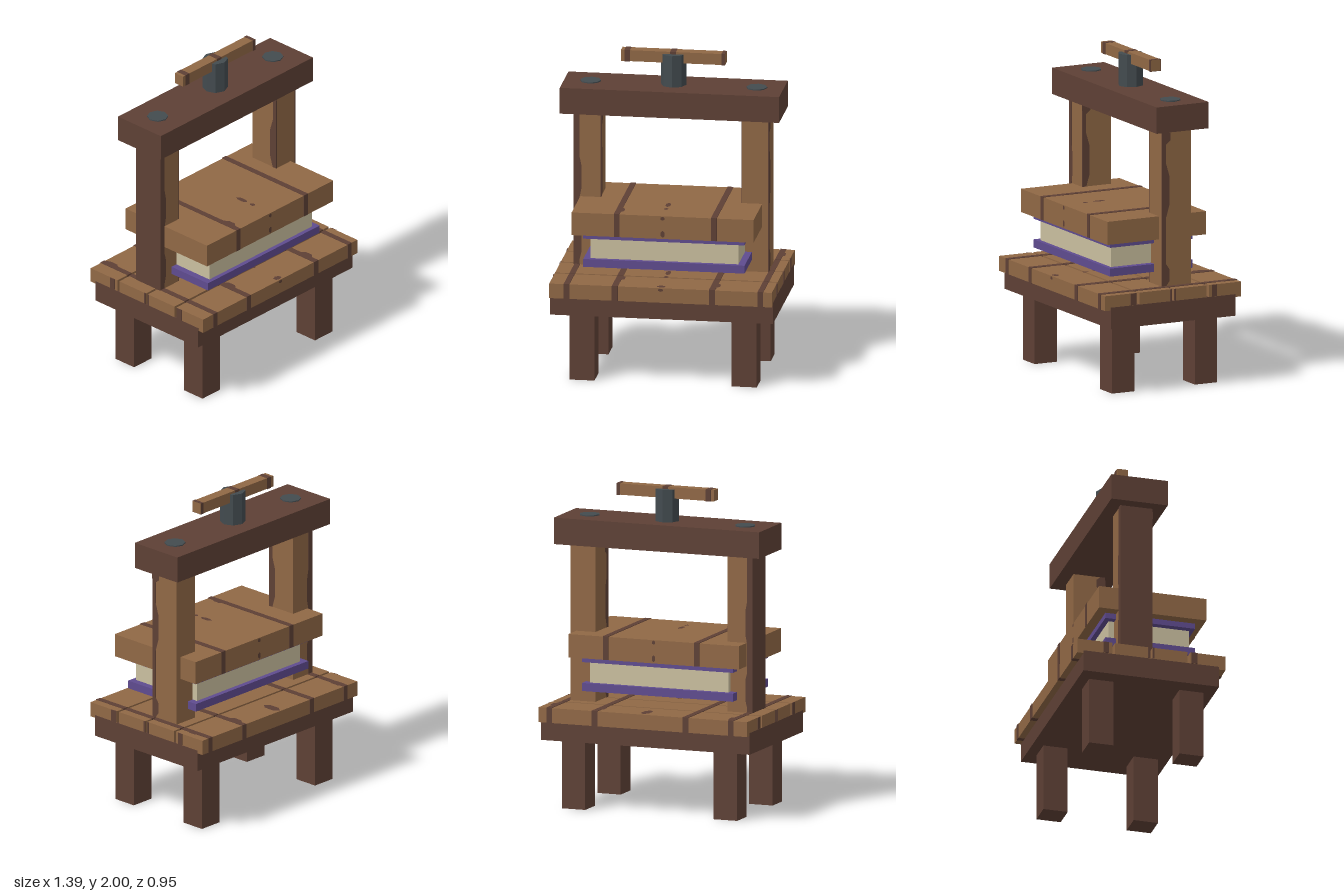
import * as THREE from 'three';

export function createModel() {
  const model = new THREE.Group();
  model.name = 'bookPress';

  const material = (name, color) => {
    const m = new THREE.MeshStandardMaterial({ color });
    m.name = name;
    return m;
  };
  const wood = material('oak wood', 0x906845);
  const dark = material('dark wood', 0x5e4035);
  const metal = material('iron', 0x434b4f);
  const purple = material('purple cover', 0x5f4b8f);
  const paper = material('paper', 0xcabf9f);

  const add = (name, geometry, mat, x, y, z) => {
    const mesh = new THREE.Mesh(geometry, mat);
    mesh.name = name;
    mesh.position.set(x, y, z);
    model.add(mesh);
    return mesh;
  };
  // Box given by its lower and upper limits on each axis
  const box = (name, mat, x0, x1, y0, y1, z0, z1) =>
    add(name, new THREE.BoxGeometry(x1 - x0, y1 - y0, z1 - z0), mat,
      (x0 + x1) / 2, (y0 + y1) / 2, (z0 + z1) / 2);

  // Grain band wrapped around a board that runs along x
  const E = 0.003;
  const band = (x0, x1, y0, y1, z0, z1) =>
    box('grainBand', dark, x0, x1, y0 - E, y1 + E, z0 - E, z1 + E);

  // Elongated grain knot, lying in a plane turned by rx and ry
  const knot = (w, l, x, y, z, rx = 0, ry = 0) => {
    const shape = new THREE.Shape([
      [0, -l / 2], [w / 2, -l / 4], [w / 2, l / 4],
      [0, l / 2], [-w / 2, l / 4], [-w / 2, -l / 4],
    ].map(([a, b]) => new THREE.Vector2(a, b)));
    add('grainKnot', new THREE.ShapeGeometry(shape), dark, x, y, z).rotation.set(rx, ry, 0);
  };
  const topKnot = (w, l, x, y, z) => knot(w, l, x, y + E + 0.001, z, -Math.PI / 2);

  // Stand: four legs and a thick slab
  for (const sx of [-1, 1]) {
    for (const sz of [-1, 1]) {
      const leg = add('leg', new THREE.BoxGeometry(0.155, 0.44, 0.155), dark, sx * 0.503, 0.22, sz * 0.288);
      leg.name = sz > 0 ? 'frontLeg' : 'backLeg';
    }
  }
  box('baseSlab', dark, -0.691, 0.691, 0.43, 0.565, -0.433, 0.433);

  // Table top of four planks with grain across them
  const bands = [[-0.6, -0.565], [-0.302, -0.265], [0.3, 0.338], [0.602, 0.637]];
  for (const cz of [-0.361, -0.12, 0.12, 0.361]) {
    const z0 = cz - 0.112, z1 = cz + 0.112;
    box('tablePlank', wood, -0.69, 0.69, 0.547, 0.64, z0, z1);
    bands.forEach(([a, b]) => band(a, b, 0.549, 0.64, z0, z1));
  }
  for (const [w, l, x, z] of [
    [0.055, 0.135, 0, -0.405], [0.03, 0.1, 0, 0.15], [0.028, 0.045, 0, 0.24],
    [0.05, 0.044, 0, 0.449], [0.05, 0.12, -0.575, -0.41], [0.05, 0.12, 0.307, -0.385],
    [0.05, 0.1, -0.27, 0.3], [0.05, 0.1, 0.333, 0.38], [0.04, 0.1, 0.632, -0.35],
  ]) topKnot(w, l, x, 0.64, z);
  knot(0.03, 0.02, 0, 0.628, 0.473 + E);

  // Grain on the plank ends
  for (const s of [-1, 1]) {
    for (const [z0, z1] of [[0.255, 0.295], [-0.305, -0.27], [-0.02, -0.008], [0.008, 0.02]]) {
      const end = s * 0.691;
      box('plankEndGrain', dark, end - E, end + E, 0.567, 0.64, z0, z1);
    }
  }

  // Upright posts
  for (const s of [-1, 1]) {
    box('post', wood, s * 0.52 - 0.083, s * 0.52 + 0.083, 0.6, 1.63, -0.17, 0.03);
    // Grain along the outer and inner faces
    for (const side of [-1, 1]) {
      const x = s * 0.52 + side * 0.083;
      box('postGrain', dark, x - E, x + E, 0.64, 1.62, 0.004, 0.0305);
      for (const [y, l, w] of [[0.71, 0.14, 0.05], [1.24, 0.34, 0.05], [1.575, 0.09, 0.06]]) {
        knot(w, l, x + side * (E + 0.001), y, 0.004, 0, side * Math.PI / 2);
      }
    }
  }
  // Grain on the edge of the right-hand post
  band(-0.6045, -0.568, 0.64, 1.62, -0.17, 0.03);
  for (const [y, l] of [[0.78, 0.25], [1.2, 0.3]]) {
    knot(0.03, l, -0.572, y, 0.03 + E + 0.001);
    knot(0.03, l, -0.572, y, -0.17 - E - 0.001, 0, Math.PI);
  }

  // Top beam with iron bolt heads
  box('topBeam', dark, -0.68, 0.68, 1.62, 1.785, -0.252, 0.108);
  for (const s of [-1, 1]) {
    add('boltHead', new THREE.CylinderGeometry(0.065, 0.065, 0.02, 8), metal, s * 0.515, 1.782, -0.074);
  }

  // Screw and its handle
  const screwGeometry = new THREE.CylinderGeometry(0.078, 0.078, 0.215, 8).toNonIndexed();
  screwGeometry.computeVertexNormals();
  add('screw', screwGeometry, metal, 0, 1.8785, -0.074);
  box('handle', wood, -0.323, 0.323, 1.93, 2, -0.11, -0.042);
  for (const [a, b] of [[-0.302, -0.267], [-0.018, 0.018], [0.3, 0.3225]]) {
    box('handleGrain', dark, a, b, 1.928, 2.0015, -0.112, -0.04);
  }

  // Pressing board
  box('pressingBoard', wood, -0.564, 0.564, 0.93, 1.075, -0.297, 0.388);
  band(-0.302, -0.267, 0.934, 1.075, -0.297, 0.388);
  band(0.3, 0.336, 0.934, 1.075, -0.297, 0.388);
  topKnot(0.03, 0.09, 0, 1.075, 0.15);
  topKnot(0.026, 0.04, 0, 1.075, 0.24);
  topKnot(0.045, 0.1, -0.27, 1.075, 0.3);
  for (const [y, l] of [[0.96, 0.045], [1.06, 0.026]]) {
    knot(0.022, l, 0, y, 0.388 + E);
    knot(0.022, l, 0, y, -0.297 - E, 0, Math.PI);
  }

  // Book being pressed
  box('lowerCover', purple, -0.5, 0.5, 0.715, 0.765, -0.238, 0.335);
  box('pages', paper, -0.458, 0.458, 0.765, 0.895, -0.206, 0.308);
  box('upperCover', purple, -0.5, 0.5, 0.895, 0.93, -0.238, 0.335);

  return model;
}
